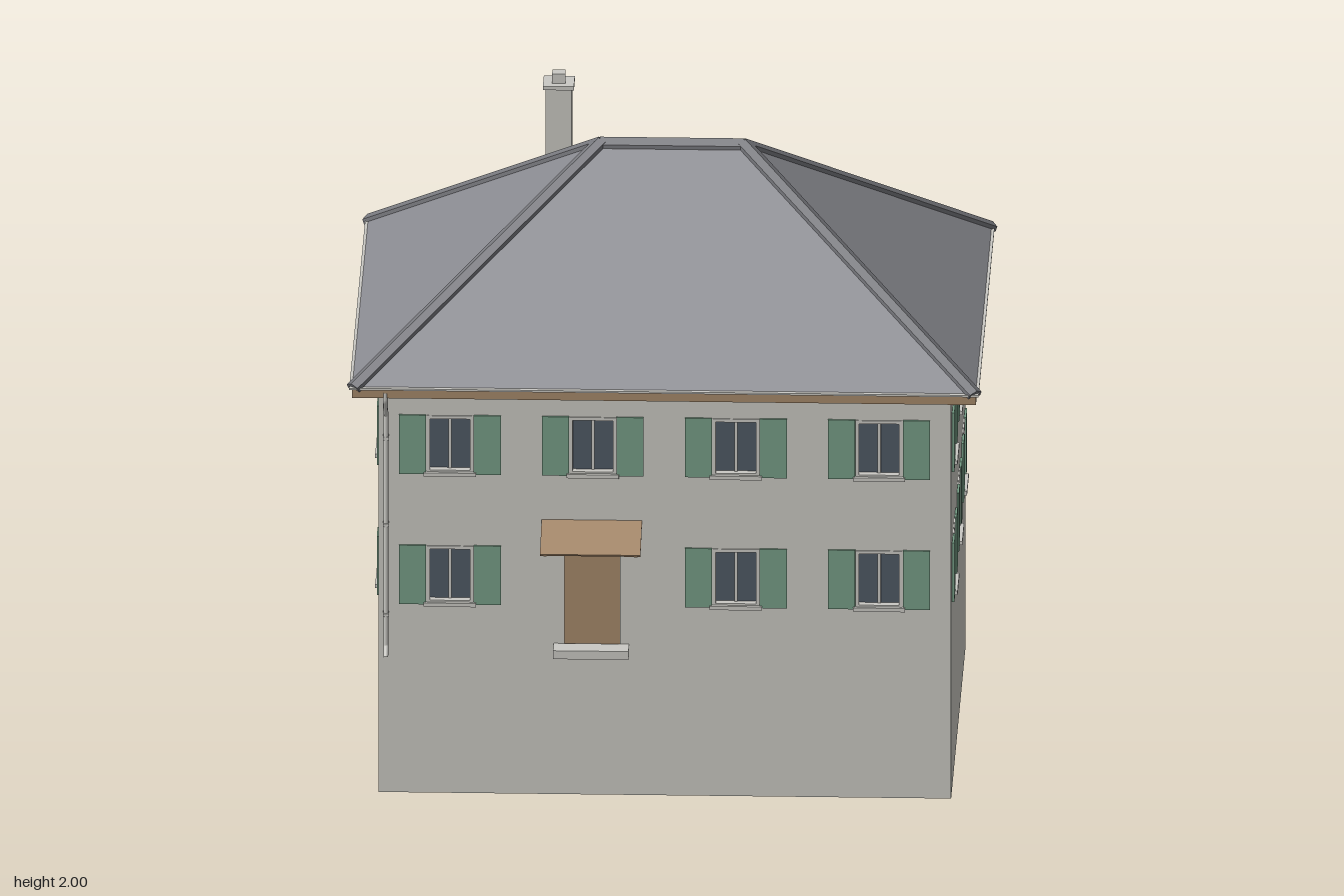
import * as THREE from 'three';

const mat = (name, color, side = THREE.FrontSide) => {
  const m = new THREE.MeshStandardMaterial({ color, side });
  m.name = name;
  return m;
};

export function createModel() {
  const M = {
    wall: mat('plaster', 0xc9c8c1, THREE.DoubleSide),
    trim: mat('pale stone', 0xcac9c4),
    roof: mat('slate', 0x898a90),
    ridge: mat('ridge slate', 0x77787d),
    wood: mat('brown wood', 0xa5886a),
    glass: mat('window glass', 0x4e5964),
    shutter: mat('green shutter', 0x759d85),
  };
  const house = new THREE.Group();
  house.name = 'house';
  const body = new THREE.Group(); // everything symmetric about the house centre
  body.name = 'building';
  body.position.z = -0.03;
  house.add(body);

  const add = (parent, name, geo, material, x = 0, y = 0, z = 0) => {
    const m = new THREE.Mesh(geo, material);
    m.name = name;
    m.position.set(x, y, z);
    parent.add(m);
    return m;
  };
  const box = (parent, name, material, w, h, d, x, y, z) =>
    add(parent, name, new THREE.BoxGeometry(w, h, d), material, x, y, z);
  const rect = (C, x, y, w, h) => {
    const s = new C();
    s.moveTo(x - w / 2, y - h / 2);
    s.lineTo(x + w / 2, y - h / 2);
    s.lineTo(x + w / 2, y + h / 2);
    s.lineTo(x - w / 2, y + h / 2);
    s.closePath();
    return s;
  };

  const HX = 0.866, HZ = 0.65, TOP = 1.31;
  const ROWS = [0.705, 1.125];

  // Window with frame, two panes, sill and a pair of open shutters
  const frameShape = rect(THREE.Shape, 0, 0, 0.14, 0.185);
  frameShape.holes.push(rect(THREE.Path, 0, 0, 0.122, 0.165));
  const frameGeo = new THREE.ExtrudeGeometry(frameShape, { depth: 0.034, bevelEnabled: false });
  function makeWindow(parent, x, y) {
    const w = new THREE.Group();
    w.name = 'window';
    w.position.set(x, y, 0);
    add(w, 'windowFrame', frameGeo, M.trim, 0, 0, -0.03);
    box(w, 'pane', M.glass, 0.124, 0.167, 0.006, 0, 0, -0.024);
    box(w, 'mullion', M.trim, 0.009, 0.167, 0.014, 0, 0, -0.022);
    box(w, 'sill', M.trim, 0.158, 0.012, 0.03, 0, -0.094, 0);
    for (const s of [-1, 1])
      box(w, 'shutter', M.shutter, 0.082, 0.19, 0.007, s * 0.113, 0, 0.0042);
    parent.add(w);
  }

  // Four walls with openings, each built facing +z and turned into place
  const longX = [-0.65, -0.218, 0.215, 0.648];
  const shortX = [-0.43, 0, 0.43];
  const sides = [
    { name: 'frontWall', half: HX, dist: HZ, xs: longX, door: true },
    { name: 'leftWall', half: HZ, dist: HX, xs: shortX },
    { name: 'backWall', half: HX, dist: HZ, xs: longX },
    { name: 'rightWall', half: HZ, dist: HX, xs: shortX },
  ];
  sides.forEach(({ name, half, dist, xs, door }, i) => {
    const side = new THREE.Group();
    side.name = name + 'Side';
    side.rotation.y = i * Math.PI / 2;
    const face = new THREE.Group();
    face.position.z = dist;
    face.name = name + 'Face';
    side.add(face);
    body.add(side);
    const shape = rect(THREE.Shape, 0, TOP / 2, half * 2, TOP);
    for (const y of ROWS) for (const x of xs) {
      if (door && y === ROWS[0] && x === xs[1]) continue;
      shape.holes.push(rect(THREE.Path, x, y, 0.138, 0.183));
      makeWindow(face, x, y);
    }
    if (door) shape.holes.push(rect(THREE.Path, -0.22, 0.64, 0.168, 0.312));
    add(face, name, new THREE.ShapeGeometry(shape), M.wall);
    if (door) {
      // Entrance: door, step and sloping canopy on two struts
      box(face, 'door', M.wood, 0.17, 0.314, 0.012, -0.22, 0.64, -0.012);
      box(face, 'doorStep', M.trim, 0.228, 0.027, 0.065, -0.222, 0.473, 0.0325);
      const canopy = box(face, 'canopy', M.wood, 0.304, 0.006, 0.157, -0.221, 0.854, 0.0725);
      canopy.rotation.x = Math.atan2(0.058, 0.145);
      for (const x of [-0.358, -0.084]) {
        const strut = box(face, 'canopyStrut', M.wood, 0.01, 0.01, 0.148, x, 0.809, 0.07);
        strut.rotation.x = -Math.atan2(0.03, 0.145);
      }
    }
  });

  // Eaves: wooden soffit slab with a pale gutter lip on top
  const EX = 0.943, EZ = 0.73, EY = 1.337, RX = 0.218, RY = 1.868;
  box(body, 'eaves', M.wood, 1.888, 0.027, 1.472, 0, 1.3165, 0);
  box(body, 'gutterLip', M.trim, 1.904, 0.006, 1.484, 0, 1.333, 0);

  // Hipped roof
  const A = [-EX, EY, EZ], B = [EX, EY, EZ], C = [EX, EY, -EZ], D = [-EX, EY, -EZ];
  const L = [RX, RY, 0], R = [-RX, RY, 0];
  const faces = [A, B, L, A, L, R, C, D, R, C, R, L, B, C, L, D, A, R];
  const roofGeo = new THREE.BufferGeometry();
  roofGeo.setAttribute('position', new THREE.Float32BufferAttribute(faces.flat(), 3));
  roofGeo.computeVertexNormals();
  add(body, 'roof', roofGeo, M.roof);

  // Chevron capping along the ridge and the four hips
  function cap(name, from, to, drop) {
    const a = new THREE.Vector3(...from), b = new THREE.Vector3(...to);
    const w = 0.024, t = 0.012, s = new THREE.Shape();
    s.moveTo(-w, -w * drop - 0.004);
    s.lineTo(0, -0.004);
    s.lineTo(w, -w * drop - 0.004);
    s.lineTo(w, -w * drop + t);
    s.lineTo(0, t);
    s.lineTo(-w, -w * drop + t);
    const geo = new THREE.ExtrudeGeometry(s, { depth: a.distanceTo(b), bevelEnabled: false });
    geo.lookAt(b.clone().sub(a));
    add(body, name, geo, M.ridge, a.x, a.y, a.z);
  }
  cap('ridgeCap', R, L, 0.73);
  for (const [corner, end] of [[A, R], [D, R], [B, L], [C, L]]) cap('hipCap', end, corner, 0.46);

  // Chimney with cover slab and pot
  const chimney = new THREE.Group();
  chimney.name = 'chimney';
  chimney.position.set(-0.35, 0, -0.235);
  body.add(chimney);
  box(chimney, 'chimneyStack', M.wall, 0.079, 0.42, 0.079, 0, 1.75, 0);
  box(chimney, 'chimneySlab', M.trim, 0.094, 0.012, 0.094, 0, 1.964, 0);
  box(chimney, 'chimneyPot', M.trim, 0.04, 0.03, 0.04, 0, 1.985, 0);

  // Downpipes at two opposite corners
  const path = new THREE.CurvePath();
  const pts = [[1.32, 0.732], [1.29, 0.73], [1.22, 0.668], [0.475, 0.666], [0.45, 0.692]]
    .map(([y, z]) => new THREE.Vector3(-0.843, y, z));
  for (let i = 1; i < pts.length; i++) path.add(new THREE.LineCurve3(pts[i - 1], pts[i]));
  const pipeGeo = new THREE.TubeGeometry(path, 80, 0.0075, 8);
  for (const turn of [0, Math.PI]) {
    const pipe = new THREE.Group();
    pipe.name = 'downpipe';
    pipe.rotation.y = turn;
    add(pipe, 'pipe', pipeGeo, M.trim);
    for (const y of [0.58, 0.87, 1.15])
      box(pipe, 'pipeBracket', M.trim, 0.018, 0.01, 0.028, -0.843, y, 0.663);
    body.add(pipe);
  }
  return house;
}
